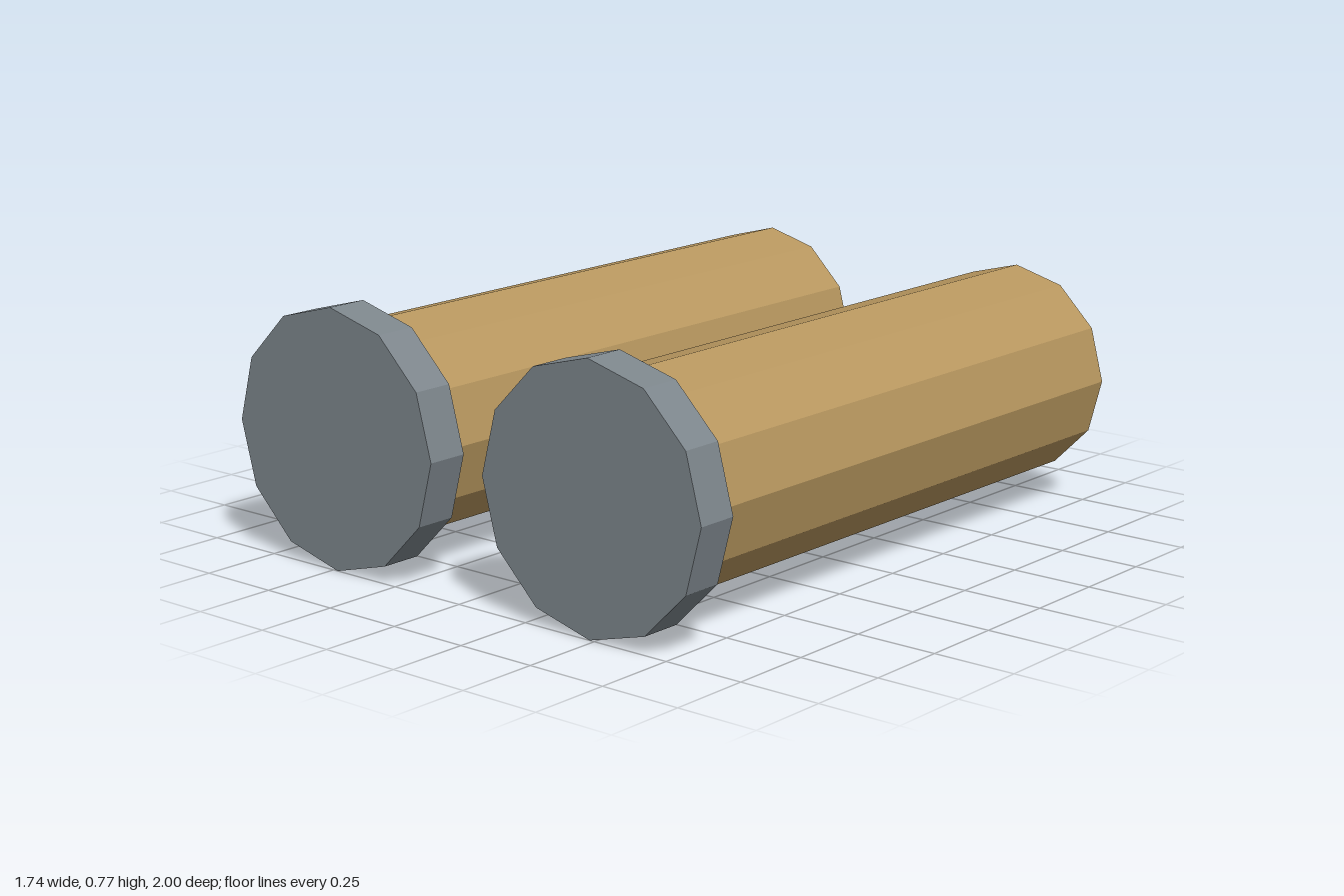
import * as THREE from 'three';

const SIDES = 12;
const HEAD_RADIUS = 0.386;
const SHAFT_RADIUS = 0.323;
const SPACING = 0.483; // distance of each axis from the centre plane

// Twelve-sided prism lying along z, between two z positions
function prism(name, radius, zBack, zFront, material) {
  const geometry = new THREE.CylinderGeometry(radius, radius, zFront - zBack, SIDES);
  geometry.rotateX(Math.PI / 2);
  const mesh = new THREE.Mesh(geometry, material);
  mesh.name = name;
  mesh.position.z = (zBack + zFront) / 2;
  return mesh;
}

export function createModel() {
  const model = new THREE.Group();
  model.name = 'cappedCylinderPair';

  const tan = new THREE.MeshStandardMaterial({ color: 0xb8975f, flatShading: true });
  const slate = new THREE.MeshStandardMaterial({ color: 0x7d868c, flatShading: true });

  for (const side of [1, -1]) {
    const unit = new THREE.Group();
    unit.name = side > 0 ? 'leftCylinder' : 'rightCylinder';
    unit.position.set(side * SPACING, HEAD_RADIUS, 0);
    // Long shaft, then the wider front disc separated by a narrow gap
    unit.add(prism('shaft', SHAFT_RADIUS, -1, 0.838, tan));
    unit.add(prism('frontDisc', HEAD_RADIUS, 0.871, 1, slate));
    model.add(unit);
  }
  return model;
}
